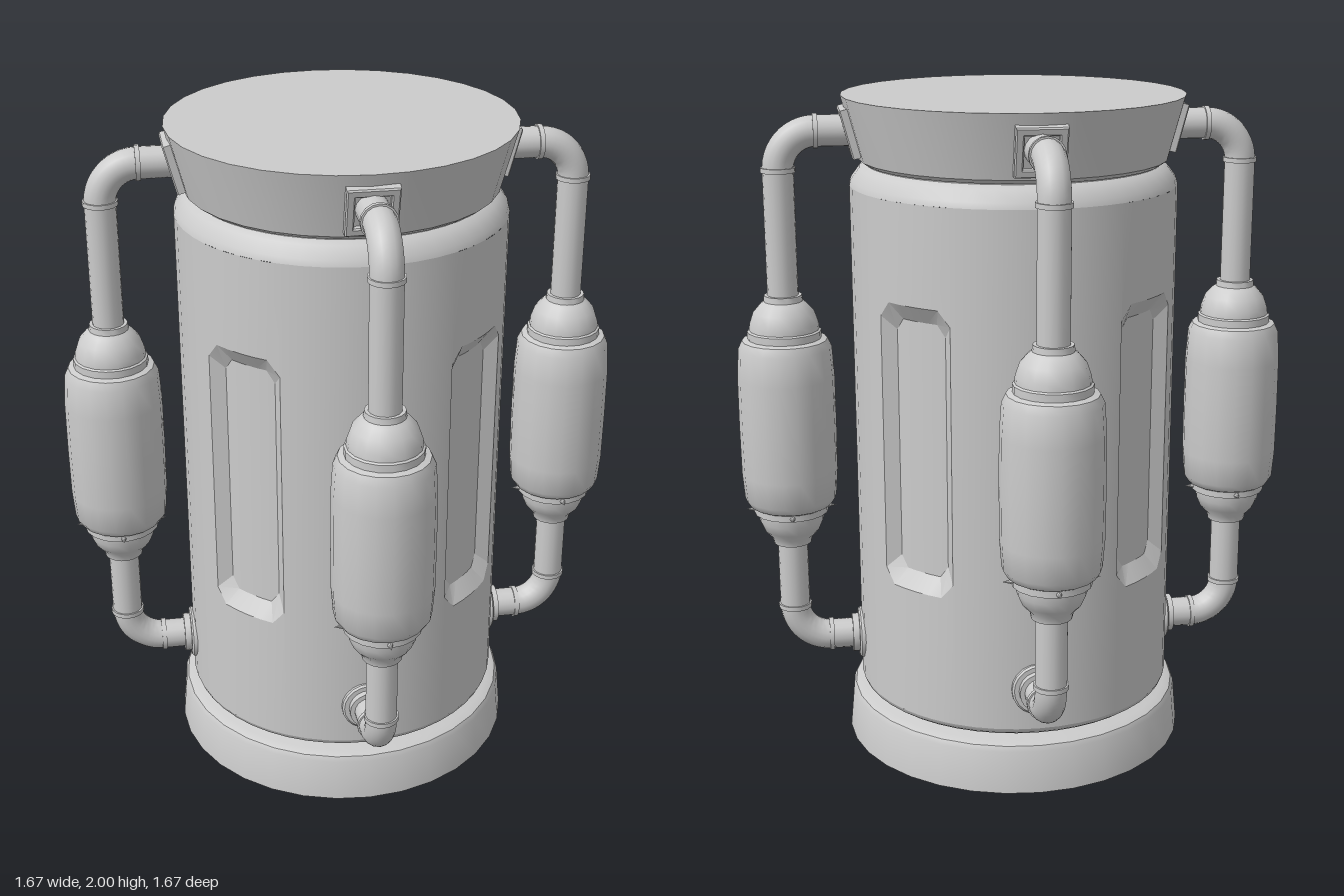
import * as THREE from 'three';
import { toCreasedNormals } from 'three/addons/utils/BufferGeometryUtils.js';

const V = (x, y, z) => new THREE.Vector3(x, y, z);
const DEG = Math.PI / 180;
const grey = new THREE.MeshStandardMaterial({ color: 0xcccccc });

function add(parent, name, geometry, crease = 35) {
  const mesh = new THREE.Mesh(toCreasedNormals(geometry, crease * DEG), grey);
  mesh.name = name;
  parent.add(mesh);
  return mesh;
}

// Profile given as [radius, height] pairs from bottom to top
function lathe(profile, sides) {
  return new THREE.LatheGeometry(profile.map(([r, y]) => new THREE.Vector2(r, y)), sides);
}

// Point on the drum: angle in degrees from +z towards +x
const polar = (deg, y, r) => V(r * Math.sin(deg * DEG), y, r * Math.cos(deg * DEG));

// Quads between two polylines, front side outwards
function strip(out, low, up) {
  for (let i = 0; i + 1 < low.length; i++) {
    for (const p of [low[i], low[i + 1], up[i + 1], low[i], up[i + 1], up[i]]) out.push(p.x, p.y, p.z);
  }
}

// Drum wall with four recessed, bevelled windows at 45 degrees
const R = 0.485, Y0 = 0.19, Y1 = 1.74;
function drumWall() {
  const out = [];
  const steps = [-1, -0.7, -0.35, 0, 0.35, 0.7, 1];
  // Upper and lower edge of a window outline with cut corners
  const outline = (mid, half, r, y0, y1, cut) => {
    const edge = (y, s) => steps.map(t => polar(mid + t * half, y + (Math.abs(t) === 1 ? s * cut : 0), r));
    return { low: edge(y0, 1), up: edge(y1, -1) };
  };
  const loop = ({ low, up }) => [...low, ...[...up].reverse(), low[0]];
  for (let q = 0; q < 4; q++) {
    const mid = 45 + q * 90;
    const plain = [];
    for (let a = mid + 15; a <= mid + 75; a += 7.5) plain.push(a);
    strip(out, plain.map(a => polar(a, Y0, R)), plain.map(a => polar(a, Y1, R)));
    const rim = outline(mid, 15, R, 0.59, 1.45, 0.045);
    const floor = outline(mid, 11.2, 0.45, 0.64, 1.4, 0.035);
    strip(out, steps.map(t => polar(mid + t * 15, Y0, R)), rim.low);
    strip(out, rim.up, steps.map(t => polar(mid + t * 15, Y1, R)));
    strip(out, loop(rim), loop(floor));
    strip(out, floor.low, floor.up);
  }
  const g = new THREE.BufferGeometry();
  g.setAttribute('position', new THREE.Float32BufferAttribute(out, 3));
  return g;
}

// Pipe from the drum outwards, round a bend, then vertically to yEnd
const D = 0.69, BEND = 0.11;
function pipe(y, yEnd) {
  const s = Math.sign(yEnd - y), k = BEND * 0.448;
  const a = V(0, y, D - BEND), b = V(0, y + s * BEND, D);
  const path = new THREE.CurvePath();
  path.add(new THREE.LineCurve3(V(0, y, 0.45), a));
  path.add(new THREE.CubicBezierCurve3(a, V(0, y, D - k), V(0, y + s * k, D), b));
  path.add(new THREE.LineCurve3(b, V(0, yEnd, D)));
  return new THREE.TubeGeometry(path, 48, 0.046, 16, false);
}

function createArm() {
  const arm = new THREE.Group();
  arm.name = 'sidePipeAssembly';
  add(arm, 'upperPipe', pipe(1.9, 1.38));
  add(arm, 'lowerPipe', pipe(0.32, 0.68));

  // Joint rings at both ends of each bend
  for (const y of [1.9, 0.32]) {
    const s = y > 1 ? -1 : 1;
    const ring = () => new THREE.CylinderGeometry(0.051, 0.051, 0.014, 16);
    add(arm, 'verticalJointRing', ring()).position.set(0, y + s * BEND, D);
    const flat = add(arm, 'horizontalJointRing', ring());
    flat.rotation.x = Math.PI / 2;
    flat.position.set(0, y, D - BEND);
  }

  // Canister with domed ends
  const canister = add(arm, 'canister', lathe([
    [0, 0.64], [0.058, 0.64], [0.062, 0.66], [0.085, 0.685], [0.098, 0.715], [0.1, 0.74],
    [0.113, 0.742], [0.113, 0.762], [0.125, 0.768], [0.139, 0.79], [0.145, 0.87], [0.146, 1.02],
    [0.145, 1.17], [0.139, 1.26], [0.127, 1.285], [0.11, 1.29], [0.11, 1.312], [0.104, 1.316],
    [0.102, 1.335], [0.09, 1.37], [0.068, 1.395], [0.058, 1.402], [0.056, 1.42], [0, 1.42]], 18), 40);
  canister.position.z = D;

  // Small pointed studs below the canister body
  for (let i = 0; i < 4; i++) {
    const g = new THREE.ConeGeometry(0.012, 0.04, 8);
    g.rotateX(Math.PI / 2).translate(0, 0.752, 0.118).rotateY(i * Math.PI / 2);
    add(arm, 'stud', g).position.z = D;
  }

  // Stepped round collar at the lower inlet
  const collar = add(arm, 'lowerCollar', lathe([
    [0.08, 0], [0.08, 0.025], [0.074, 0.03], [0.06, 0.03], [0.06, 0.05], [0.046, 0.05]], 20));
  collar.rotation.x = Math.PI / 2;
  collar.position.set(0, 0.32, 0.465);

  // Square frame at the upper inlet, leaning with the lid
  const square = (C, h) => {
    const s = new C();
    s.moveTo(-h, -h); s.lineTo(h, -h); s.lineTo(h, h); s.lineTo(-h, h); s.closePath();
    return s;
  };
  const frameShape = square(THREE.Shape, 0.068);
  frameShape.holes.push(square(THREE.Path, 0.052));
  const frame = add(arm, 'upperFrame', new THREE.ExtrudeGeometry(frameShape, {
    depth: 0.026, bevelSize: 0.004, bevelThickness: 0.004, bevelSegments: 1 }));
  frame.rotation.x = 0.26;
  frame.position.set(0, 1.9, 0.466);
  const plate = add(arm, 'upperPlate', new THREE.BoxGeometry(0.11, 0.11, 0.02));
  plate.rotation.x = 0.26;
  plate.position.set(0, 1.9, 0.471);
  return arm;
}

export function createModel() {
  const model = new THREE.Group();
  model.name = 'canisterDrum';

  // Flared foot, closed underneath
  add(model, 'base', lathe([[0, 0], [0.527, 0], [0.515, 0.13], [0.507, 0.145], [0.485, 0.155], [0, 0.155]], 32));

  // Drum wall and its rounded lower and upper shoulders
  add(model, 'drumWall', drumWall(), 25);
  add(model, 'lowerShoulder', lathe([[0.43, 0.15], [0.45, 0.165], [0.468, 0.168], [0.48, 0.177], [R, Y0]], 48));
  add(model, 'upperShoulder', lathe([[R, Y1], [0.48, 1.757], [0.455, 1.79], [0.435, 1.8], [0.43, 1.81]], 48));

  // Lid widening to a flat top
  add(model, 'lid', lathe([[0, 1.803], [0.44, 1.803], [0.456, 1.815], [0.505, 2], [0, 2]], 32));

  // Four identical pipe assemblies
  for (let i = 0; i < 4; i++) {
    const arm = createArm();
    arm.rotation.y = i * Math.PI / 2;
    model.add(arm);
  }
  return model;
}
